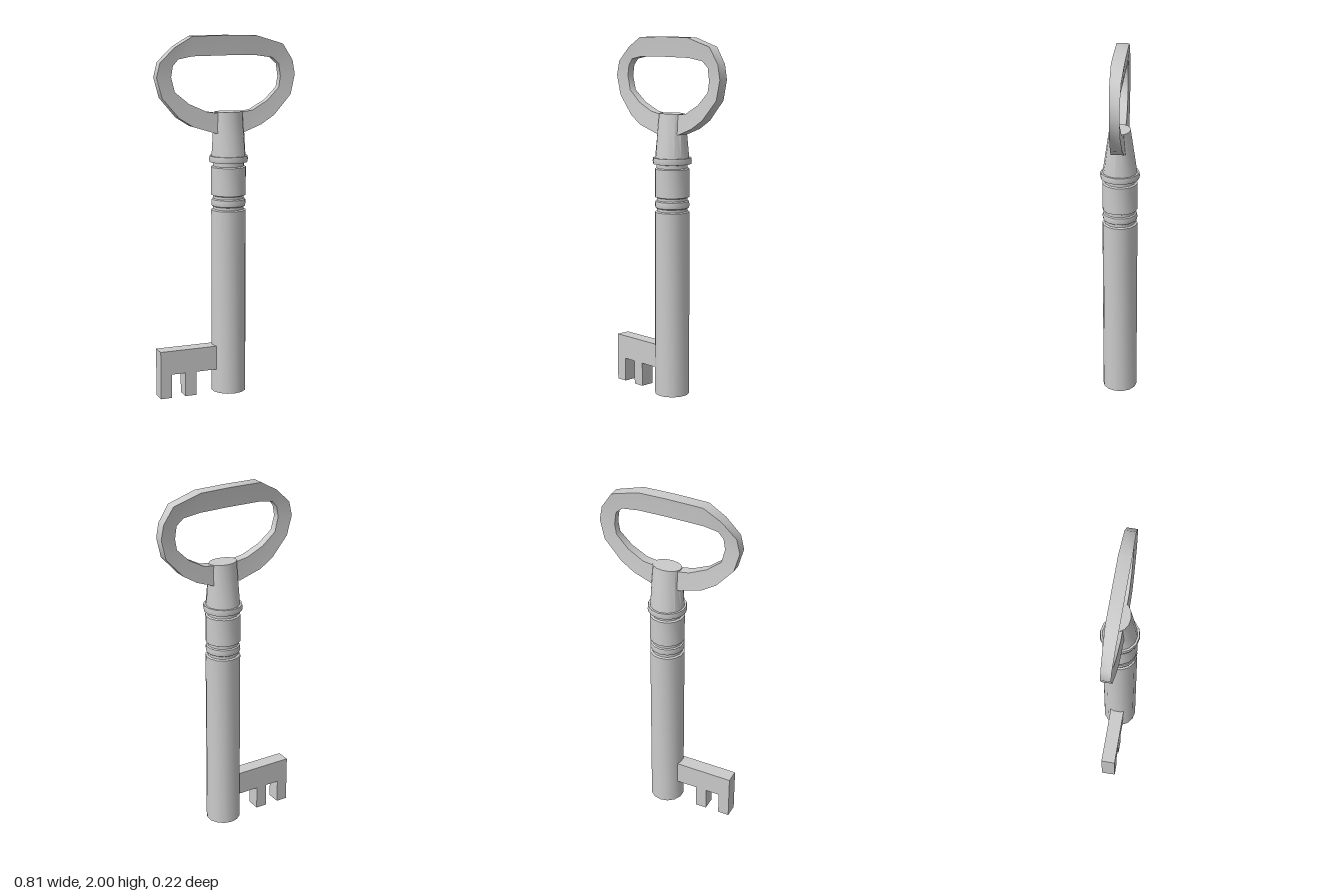
import * as THREE from 'three';
import { toCreasedNormals } from 'three/addons/utils/BufferGeometryUtils.js';

const material = new THREE.MeshStandardMaterial({ color: 0xcccccc });
const SHAFT_X = 0.019;

function part(name, geometry, crease = 0.6) {
  const mesh = new THREE.Mesh(toCreasedNormals(geometry, crease), material);
  mesh.name = name;
  return mesh;
}

function lathe(profile) {
  return new THREE.LatheGeometry(profile.map(([r, y]) => new THREE.Vector2(r, y)), 14);
}

// Round stem with two grooves and a collar
function stem() {
  const mesh = part('stem', lathe([
    [0, 0], [0.097, 0], [0.097, 1.04], [0.086, 1.045], [0.086, 1.06],
    [0.094, 1.065], [0.097, 1.08], [0.094, 1.1], [0.086, 1.105], [0.086, 1.12],
    [0.097, 1.125], [0.097, 1.28], [0.086, 1.285], [0.086, 1.305],
    [0.106, 1.308], [0.109, 1.325], [0.106, 1.342], [0, 1.342],
  ]));
  mesh.position.x = SHAFT_X;
  return mesh;
}

// Tapered neck, flattening to an oval at the top
function neck() {
  const y0 = 1.34, y1 = 1.585;
  const geometry = lathe([[0.095, y0], [0.083, y1], [0, y1]]);
  const p = geometry.attributes.position;
  for (let i = 0; i < p.count; i++) {
    const t = (p.getY(i) - y0) / (y1 - y0);
    p.setZ(i, p.getZ(i) * (1 - 0.3 * t));
  }
  const mesh = part('neck', geometry);
  mesh.position.x = SHAFT_X;
  return mesh;
}

// Handle loop: a section swept between outer and inner outlines
function handle() {
  // outer x, outer y, inner x, inner y, clockwise from the -x end
  const stations = [
    [-0.405, 1.78, -0.32, 1.78], [-0.385, 1.86, -0.31, 1.84], [-0.3, 1.94, -0.28, 1.875],
    [-0.2, 1.997, -0.2, 1.89], [0, 2, 0, 1.892], [0.17, 1.997, 0.17, 1.89],
    [0.33, 1.95, 0.27, 1.875], [0.39, 1.86, 0.31, 1.84], [0.405, 1.78, 0.32, 1.77],
    [0.38, 1.67, 0.31, 1.71], [0.28, 1.56, 0.24, 1.64], [0.2, 1.51, 0.15, 1.59],
    [0.1, 1.472, 0.08, 1.58], [-0.07, 1.47, -0.06, 1.58], [-0.2, 1.51, -0.12, 1.59],
    [-0.28, 1.56, -0.22, 1.635], [-0.375, 1.67, -0.3, 1.7],
  ];
  // fraction from outer to inner edge, relative thickness
  const section = [[0, 1], [0.5, 0.85], [1, 0.75], [1, -0.75], [0.5, -0.85], [0, -1]];
  const n = stations.length, m = section.length;
  const positions = [], index = [];
  stations.forEach(([ox, oy, ix, iy], i) => {
    const half = 0.035 - 0.04 * Math.max(0, Math.abs(ox) - 0.2);
    for (const [u, k] of section) {
      positions.push(ox + (ix - ox) * u, oy + (iy - oy) * u, half * k);
    }
    for (let j = 0; j < m; j++) {
      const a = i * m + j, b = i * m + (j + 1) % m;
      const next = ((i + 1) % n) * m;
      const c = next + j, d = next + (j + 1) % m;
      index.push(a, b, c, b, d, c);
    }
  });
  const geometry = new THREE.BufferGeometry();
  geometry.setAttribute('position', new THREE.Float32BufferAttribute(positions, 3));
  geometry.setIndex(index);
  return part('handle', geometry, 0.75);
}

// Toothed bit: a plate with two teeth
function bit() {
  const shape = new THREE.Shape([
    [-0.4, 0], [-0.335, 0], [-0.335, 0.135], [-0.255, 0.135], [-0.255, 0],
    [-0.19, 0], [-0.19, 0.135], [-0.04, 0.135], [-0.04, 0.27], [-0.4, 0.27],
  ].map(([x, y]) => new THREE.Vector2(x, y)));
  const geometry = new THREE.ExtrudeGeometry(shape, { depth: 0.08, bevelEnabled: false });
  geometry.translate(0, 0, -0.042);
  return part('bit', geometry);
}

export function createModel() {
  const group = new THREE.Group();
  group.name = 'key';
  group.add(stem(), neck(), handle(), bit());
  return group;
}
